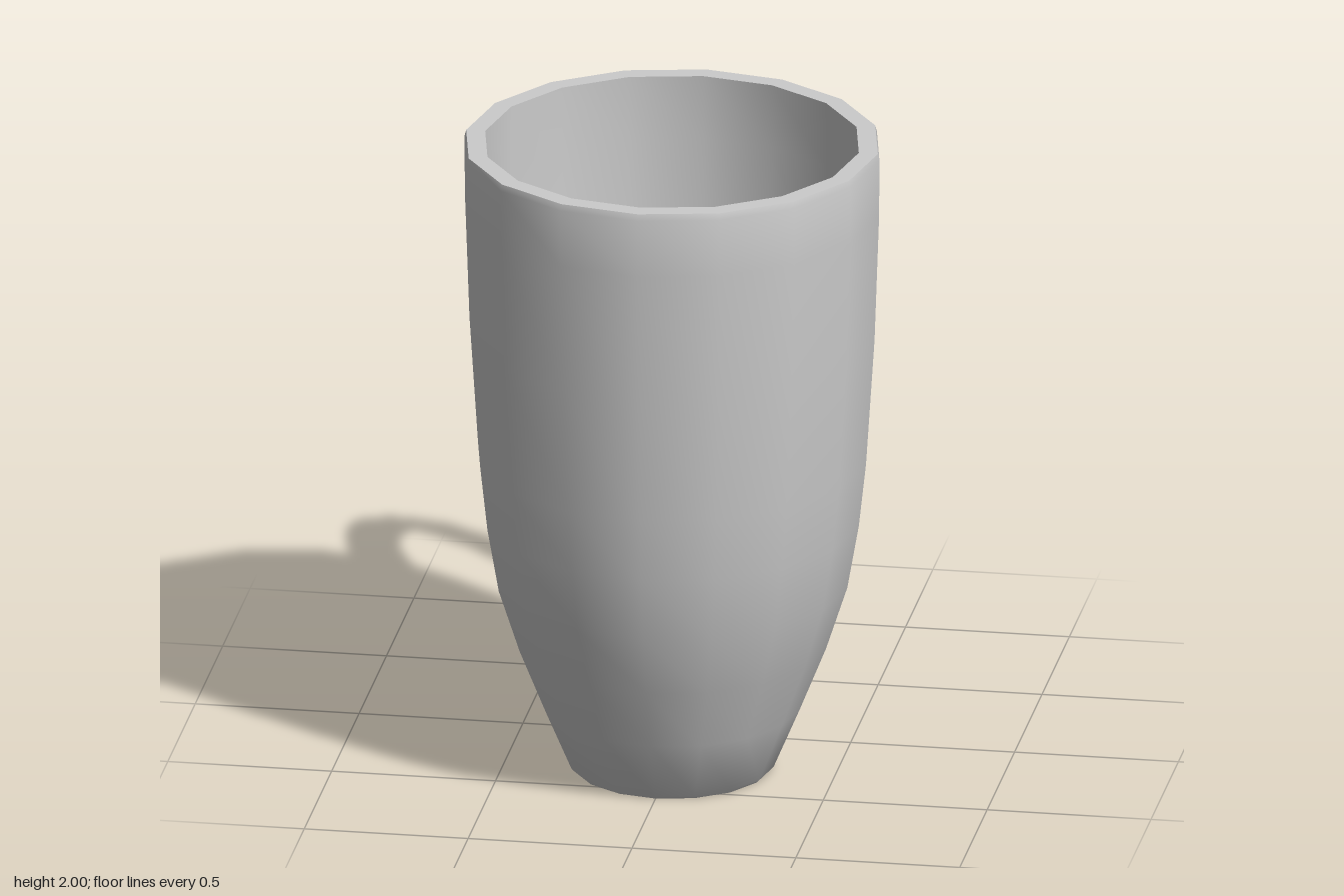
import * as THREE from 'three';
import { toCreasedNormals } from 'three/addons/utils/BufferGeometryUtils.js';

const material = new THREE.MeshStandardMaterial({ color: 0xcccccc });

// Closed wall profile [radius, height]: underside, outside, rim, inside, floor, centre hole
const cupProfile = [
  [0.03, 0], [0.3, 0], [0.31, 0.01], [0.39, 0.2], [0.47, 0.4], [0.535, 0.6],
  [0.57, 0.8], [0.592, 1], [0.618, 1.4], [0.632, 1.8], [0.633, 1.98], [0.628, 2],
  [0.57, 2], [0.57, 1.8], [0.558, 1.4], [0.532, 1], [0.51, 0.8], [0.475, 0.6],
  [0.415, 0.4], [0.35, 0.23], [0.31, 0.18], [0.03, 0.18], [0.03, 0],
];

// Handle stations: [outer z, outer y, inner z, inner y, half width]
const handleStations = [
  [-0.325, 1.81, -0.325, 1.45, 0.11],
  [-0.42, 1.8, -0.44, 1.59, 0.088],
  [-0.51, 1.85, -0.55, 1.7, 0.075],
  [-0.61, 1.875, -0.63, 1.735, 0.08],
  [-0.7, 1.86, -0.7, 1.71, 0.075],
  [-0.81, 1.73, -0.77, 1.63, 0.062],
  [-0.88, 1.54, -0.8, 1.49, 0.057],
  [-0.9, 1.31, -0.805, 1.31, 0.057],
  [-0.87, 1.07, -0.78, 1.1, 0.062],
  [-0.75, 0.73, -0.65, 0.79, 0.075],
  [-0.59, 0.56, -0.51, 0.66, 0.08],
  [-0.43, 0.42, -0.37, 0.56, 0.088],
  [-0.27, 0.31, -0.27, 0.56, 0.1],
  [-0.11, 0.27, -0.21, 0.59, 0.1],
];

// Six-sided section: [fraction from outer to inner edge, fraction of half width]
const section = [[0, 0.45], [0.5, 1], [1, 0.5], [1, -0.5], [0.5, -1], [0, -0.45]];

function handleGeometry() {
  const positions = [], indices = [], n = section.length;
  handleStations.forEach(([oz, oy, iz, iy, w], i) => {
    for (const [t, s] of section) {
      positions.push(s * w, oy + (iy - oy) * t, oz + (iz - oz) * t);
    }
    if (i === 0) return;
    for (let j = 0; j < n; j++) {
      const k = (j + 1) % n, a = (i - 1) * n, b = i * n;
      indices.push(a + j, a + k, b + j, a + k, b + k, b + j);
    }
  });
  const geometry = new THREE.BufferGeometry();
  geometry.setAttribute('position', new THREE.Float32BufferAttribute(positions, 3));
  geometry.setIndex(indices);
  return toCreasedNormals(geometry, 0.6);
}

export function createModel() {
  const group = new THREE.Group();
  group.name = 'mug';

  // Sixteen-sided tapered cup, set forward to leave room for the handle
  const points = cupProfile.map(([r, y]) => new THREE.Vector2(r, y));
  const cup = new THREE.Mesh(toCreasedNormals(new THREE.LatheGeometry(points, 16), 0.6), material);
  cup.name = 'cup';
  cup.position.z = 0.27;
  group.add(cup);

  // Ear-shaped handle whose ends sink into the cup wall
  const handle = new THREE.Mesh(handleGeometry(), material);
  handle.name = 'handle';
  group.add(handle);

  return group;
}
